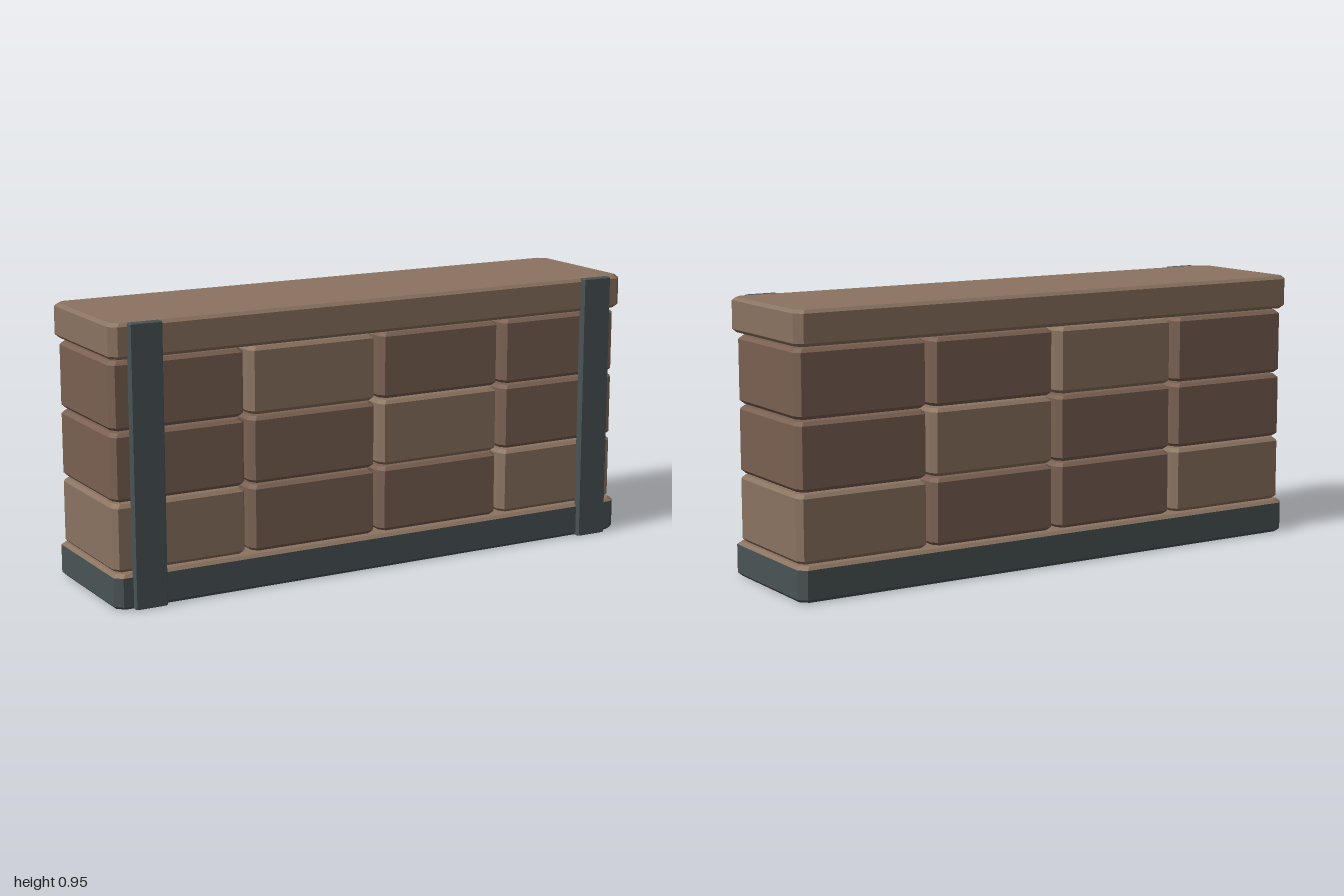
import * as THREE from 'three';

const LIGHT = 0x8b7360, DARK = 0x7a6052, METAL = 0x4a5455;

const material = (color) => new THREE.MeshStandardMaterial({ color, flatShading: true });
const materials = { light: material(LIGHT), dark: material(DARK), metal: material(METAL) };

// Rectangle with cut corners at height y, counter-clockwise seen from above.
// [x0, x1, z0, z1] are the sides, cx and cz the corner cuts, inset shrinks it.
function ring([x0, x1, z0, z1], cx, cz, y, inset) {
  const l = x0 + inset, r = x1 - inset, b = z0 + inset, f = z1 - inset;
  return [
    [r, f - cz], [r, b + cz], [r - cx, b], [l + cx, b],
    [l, b + cz], [l, f - cz], [l + cx, f], [r - cx, f],
  ].map(([x, z]) => new THREE.Vector3(x, y, z));
}

// Stacks rings into a faceted solid, closed at both ends.
function loft(rings) {
  const points = [];
  for (let k = 0; k < rings.length - 1; k++) {
    const lo = rings[k], hi = rings[k + 1];
    lo.forEach((a, i) => {
      const j = (i + 1) % lo.length;
      points.push(a, lo[j], hi[j], a, hi[j], hi[i]);
    });
  }
  const bottom = rings[0], top = rings[rings.length - 1];
  for (let i = 1; i < top.length - 1; i++) {
    points.push(top[0], top[i], top[i + 1], bottom[0], bottom[i + 1], bottom[i]);
  }
  const geometry = new THREE.BufferGeometry().setFromPoints(points);
  geometry.computeVertexNormals();
  return geometry;
}

// Slab with cut upright corners and bevelled top and bottom edges.
function slab(sides, y0, y1, cx, cz, bevel) {
  return loft([
    ring(sides, cx, cz, y0, bevel), ring(sides, cx, cz, y0 + bevel, 0),
    ring(sides, cx, cz, y1 - bevel, 0), ring(sides, cx, cz, y1, bevel),
  ]);
}

export function createModel() {
  const model = new THREE.Group();
  model.name = 'brickCounter';
  const add = (parent, name, geometry, mat) => {
    const mesh = new THREE.Mesh(geometry, mat);
    mesh.name = name;
    parent.add(mesh);
  };

  // Dark plinth with a brown bevelled upper edge
  const plan = [-1, 1, -0.257, 0.24], cut = 0.025, bevel = 0.011;
  add(model, 'plinth', loft([
    ring(plan, cut, cut, 0, bevel), ring(plan, cut, cut, bevel, 0),
    ring(plan, cut, cut, 0.109, 0),
  ]), materials.metal);
  add(model, 'plinthTop', loft([
    ring(plan, cut, cut, 0.109, 0), ring(plan, cut, cut, 0.12, bevel),
  ]), materials.light);

  // Brick wall: L is a light brick, D a dark one, rows from the bottom up
  const wall = new THREE.Group();
  wall.name = 'brickWall';
  model.add(wall);
  ['LDDL', 'DDLD', 'DLDD'].forEach((row, r) => {
    [...row].forEach((tone, c) => {
      const x = -0.994 + c * 0.5, y = 0.121 + r * 0.2365;
      add(wall, `brick${r + 1}_${c + 1}`,
        slab([x, x + 0.484, -0.232, 0.217], y, y + 0.229, 0.016, cut, 0.012),
        tone === 'L' ? materials.light : materials.dark);
    });
  });

  // Counter slab on top
  add(model, 'counterTop', slab(plan, 0.832, 0.95, cut, cut, bevel), materials.light);

  // Metal straps up the front
  for (const [name, x] of [['leftStrap', 0.878], ['rightStrap', -0.882]]) {
    add(model, name,
      slab([x - 0.058, x + 0.058, 0.226, 0.257], 0, 0.95, 0.004, 0.006, 0.003),
      materials.metal);
  }
  return model;
}
